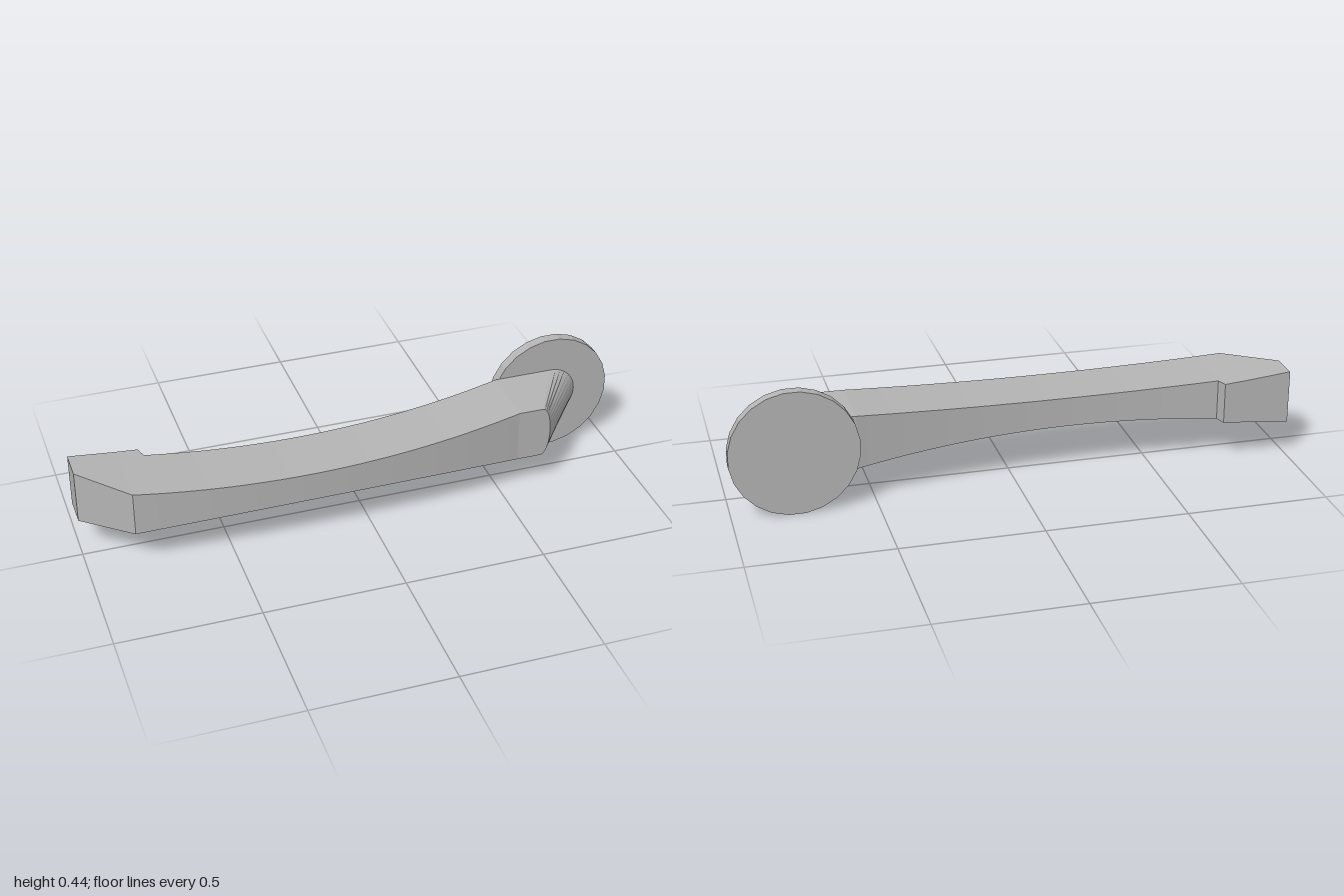
import * as THREE from 'three';

const MID_Y = 0.2225;   // height of the lever's centre line
const BACK_Z = -0.131;  // plane where the neck meets the wall plate

// Half height, back and front of the grip along x
const halfHeight = x => 0.053 + 0.044 * Math.min(1, ((x + 0.22) / 0.78) ** 2);
const backZ = x => BACK_Z + 0.066 * (1 - ((x + 0.22) / 0.78) ** 2);
const frontZ = x => 0.168 - 0.0985 * (x + 0.25) ** 2;

// Collects flat faces, corners anticlockwise from outside
function faceBuilder() {
  const pos = [];
  const tri = (a, b, c) => pos.push(...a, ...b, ...c);
  const quad = (a, b, c, d) => { tri(a, b, c); tri(a, c, d); };
  const build = () => {
    const g = new THREE.BufferGeometry();
    g.setAttribute('position', new THREE.Float32BufferAttribute(pos, 3));
    g.computeVertexNormals();
    return g;
  };
  return { tri, quad, build };
}

// Four corners: back top, front top, front bottom, back bottom
function section(xb, zb, xf, zf) {
  const hb = halfHeight(xb), hf = halfHeight(xf);
  return [
    [xb, MID_Y + hb, zb], [xf, MID_Y + hf, zf],
    [xf, MID_Y - hf, zf], [xb, MID_Y - hb, zb],
  ];
}

function gripGeometry() {
  const sections = [
    section(-1, BACK_Z - 0.003, -1, -0.025),
    section(-0.835, BACK_Z - 0.003, -0.835, frontZ(-0.835)),
    section(-0.757, BACK_Z - 0.003, -0.757, frontZ(-0.757)),
  ];
  const steps = 32;
  for (let i = 0; i <= steps; i++) {
    const x = -0.745 + (0.56 + 0.745) * i / steps;
    sections.push(section(x, backZ(x), x, frontZ(x)));
  }
  sections.push(section(0.78, BACK_Z, 0.65, 0.104));

  const f = faceBuilder();
  for (let i = 0; i < sections.length - 1; i++) {
    const s = sections[i], t = sections[i + 1];
    for (let k = 0; k < 4; k++) {
      const n = (k + 1) % 4;
      f.quad(s[k], s[n], t[n], t[k]);
    }
  }
  const [a, b, c, d] = sections[0];
  f.quad(a, d, c, b);
  return f.build();
}

// Slanted rounded end, from a shallow front arc to a half circle at the plate
function neckGeometry() {
  const f = faceBuilder(), n = 16, r = 0.097;
  const arc = (x, rx, z) => Array.from({ length: n + 1 }, (_, k) => {
    const t = Math.PI * (0.5 - k / n);
    return [x + rx * Math.cos(t), MID_Y + r * Math.sin(t), z];
  });
  const front = arc(0.65, 0.031, 0.104), back = arc(0.78, 0.095, BACK_Z);
  for (let k = 0; k < n; k++) {
    f.quad(back[k], front[k], front[k + 1], back[k + 1]);
    f.tri(front[0], front[k + 1], front[k]);
    f.tri(back[0], back[k], back[k + 1]);
  }
  return f.build();
}

export function createModel() {
  const group = new THREE.Group();
  group.name = 'leverHandle';
  const metal = new THREE.MeshStandardMaterial({ color: 0xb4b4b4 });
  metal.name = 'grey metal';
  metal.flatShading = true;

  const add = (name, geometry) => {
    const mesh = new THREE.Mesh(geometry, metal);
    mesh.name = name;
    group.add(mesh);
    return mesh;
  };

  add('grip', gripGeometry());
  add('neck', neckGeometry());

  // Round wall plate, 24 sides with flats at top and sides
  const half = Math.PI / 24, radius = 0.2225 / Math.cos(half);
  const plate = add('wallPlate', new THREE.CylinderGeometry(radius, radius, 0.039, 24, 1, false, half));
  plate.rotation.x = Math.PI / 2;
  plate.position.set(0.7775, MID_Y, -0.1505);

  return group;
}
